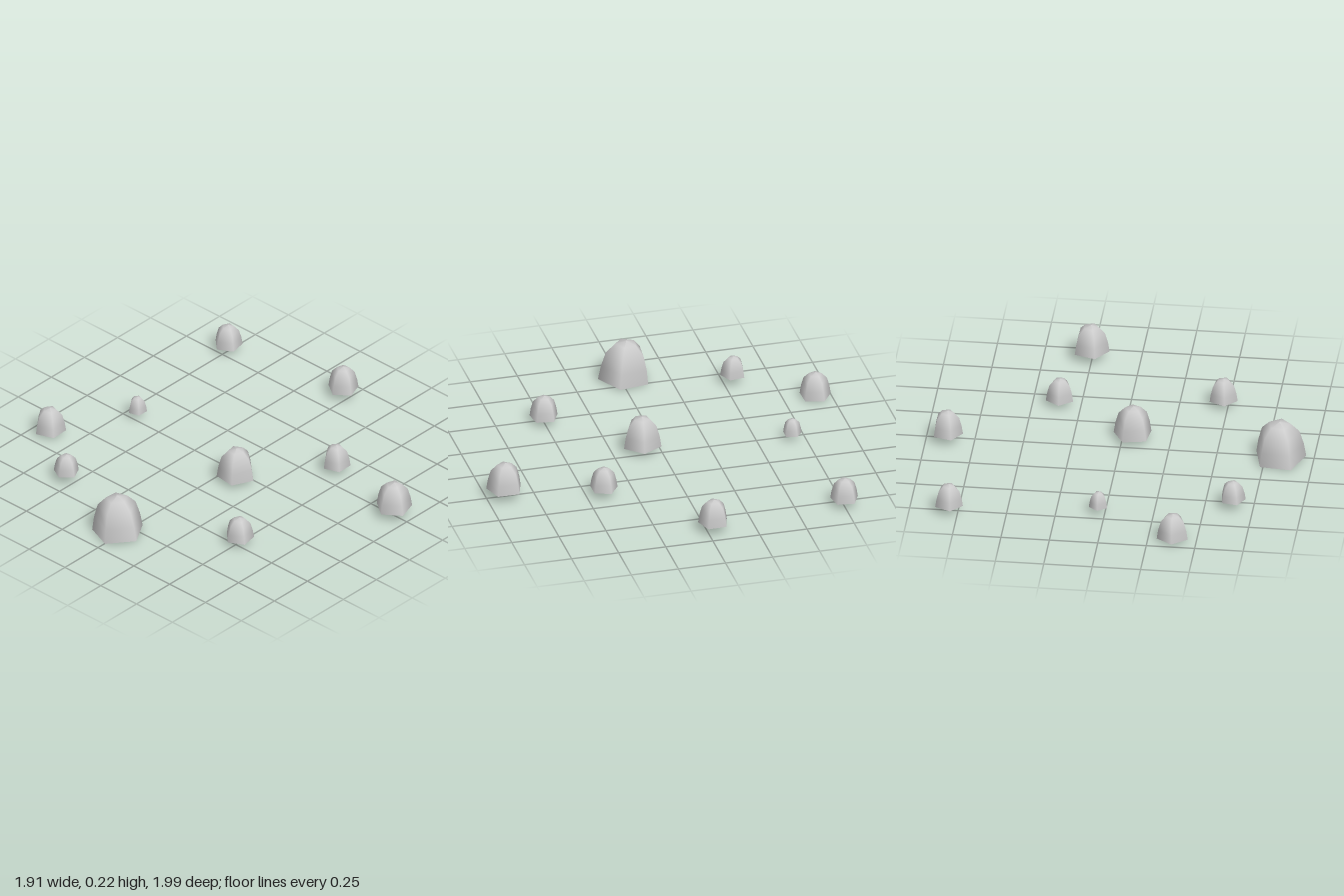
import * as THREE from 'three';

// Dome profile: [radius, height] as fractions of the full size
const PROFILE = [[1, 0], [0.91, 0.36], [0.75, 0.71], [0.42, 0.93], [0, 1]];

// Each stone: x, z, base y, top y, radius, turn of its first corner in degrees
const STONES = [
  [-0.825, -0.02, 0.007, 0.222, 0.137, 23],
  [-0.376, -0.913, 0.014, 0.146, 0.084, -20],
  [0.034, -0.681, 0.036, 0.12, 0.05, -17],
  [0.798, -0.754, 0.038, 0.156, 0.075, -29],
  [-0.644, -0.55, 0.047, 0.152, 0.067, 28],
  [-0.055, 0.093, 0.03, 0.193, 0.102, 7],
  [0.889, -0.035, 0.047, 0.178, 0.081, -38],
  [0.359, 0.407, 0.034, 0.153, 0.074, -19],
  [-0.474, 0.5, 0.034, 0.154, 0.076, -28],
  [0.256, 0.904, 0.047, 0.195, 0.096, -36],
];

export function createModel() {
  const group = new THREE.Group();
  group.name = 'scatteredStones';
  const material = new THREE.MeshStandardMaterial({ color: 0xcccccc });

  STONES.forEach(([x, z, base, top, radius, degrees], i) => {
    const turn = THREE.MathUtils.degToRad(degrees);
    const stone = new THREE.Group();
    stone.name = `stone${i + 1}`;
    stone.position.set(x, base, z);

    // Five-sided rounded dome
    const points = PROFILE.map(([r, h]) => new THREE.Vector2(r * radius, h * (top - base)));
    const dome = new THREE.Mesh(new THREE.LatheGeometry(points, 5, Math.PI / 2 - turn), material);
    dome.name = 'dome';

    // Flat underside
    const underside = new THREE.Mesh(
      new THREE.CircleGeometry(radius, 5, turn).rotateX(Math.PI / 2), material);
    underside.name = 'underside';

    stone.add(dome, underside);
    group.add(stone);
  });

  // The largest stone leans slightly, so its rear edge touches the ground
  group.children[0].rotation.x = -0.05;
  return group;
}
